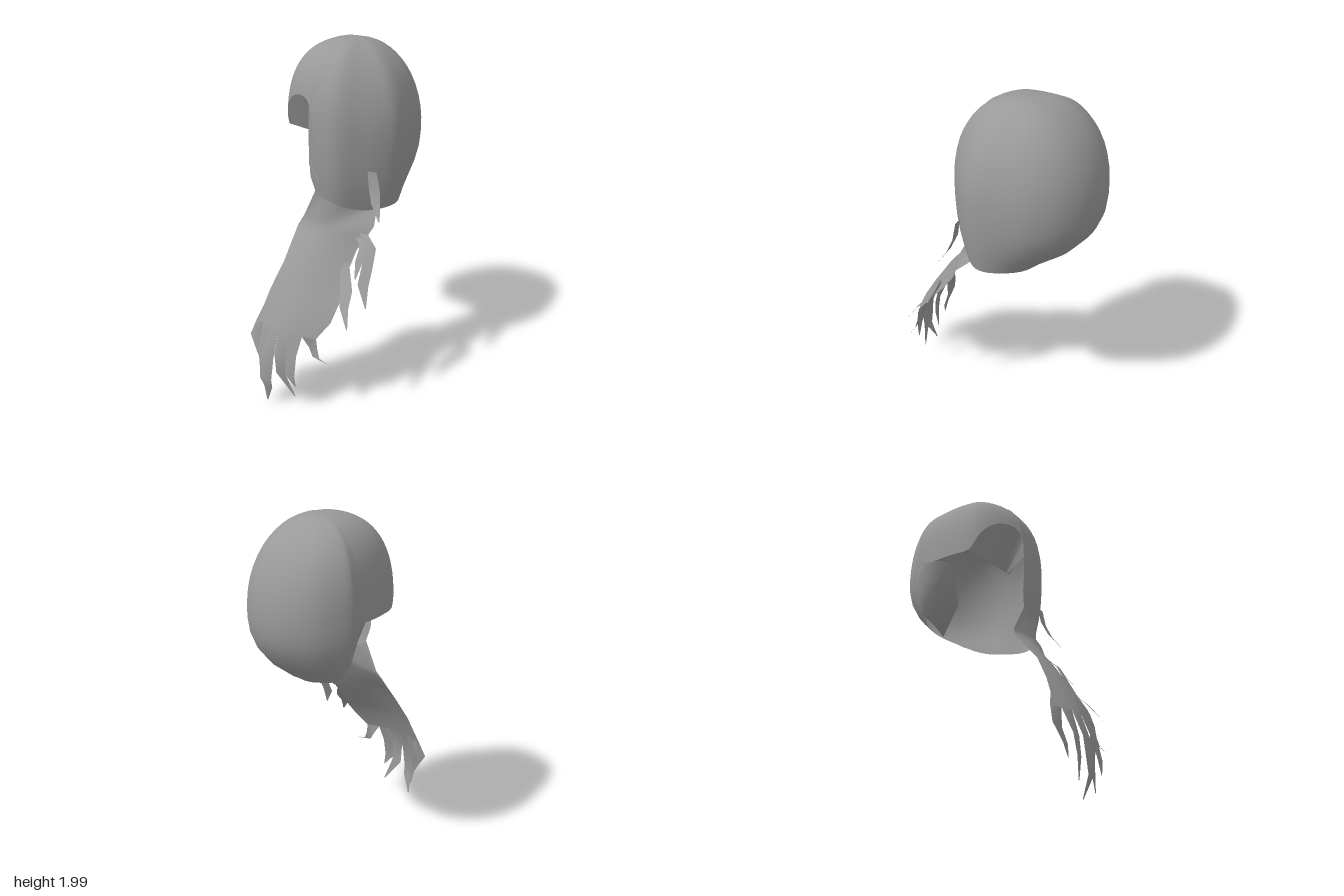
import * as THREE from 'three';

const hair = new THREE.MeshStandardMaterial({ color: 0x999999, side: THREE.DoubleSide });
hair.name = 'hair grey';

// Smooth surface through rows of [x, y, z] points; closed joins the last row to the first
function sheet(name, rows, closed = false) {
  const n = rows[0].length, index = [];
  const spans = closed ? rows.length : rows.length - 1;
  for (let i = 0; i < spans; i++) {
    for (let j = 0; j < n - 1; j++) {
      const a = i * n + j, b = ((i + 1) % rows.length) * n + j;
      index.push(a, b, a + 1, a + 1, b, b + 1);
    }
  }
  const g = new THREE.BufferGeometry();
  g.setAttribute('position', new THREE.Float32BufferAttribute(rows.flat(2), 3));
  g.setIndex(index);
  g.computeVertexNormals();
  const mesh = new THREE.Mesh(g, hair);
  mesh.name = name;
  return mesh;
}

// Rows of a flat tapering lock: [x, y, z, half width], leaning back toward +x
const lockRows = (points) => points.map(([x, y, z, w]) => [
  [x - w, y, z + w * 0.4], [x, y, z + w * 0.1], [x + w, y, z - w * 0.4],
]);

// Cap: widest outline as [x, z, lower edge y], with the face opening cut high
const CX = -0.05, CZ = -0.2;
const outline = [
  [0.02, 0.187, 1.2], [0.16, 0.15, 1.14], [0.25, 0.03, 1.1], [0.3, -0.06, 1.1],
  [0.328, -0.155, 1.11], [0.285, -0.31, 1.12], [0.21, -0.46, 1.12], [0.08, -0.565, 1.12],
  [-0.09, -0.6, 1.13], [-0.26, -0.56, 1.14], [-0.4, -0.45, 1.17], [-0.46, -0.31, 1.2],
  [-0.445, -0.22, 1.5], [-0.42, -0.14, 1.5], [-0.375, -0.02, 1.5], [-0.32, 0.08, 1.51],
  [-0.27, 0.13, 1.62], [-0.2, 0.165, 1.69], [-0.1, 0.187, 1.72], [-0.03, 0.19, 1.7],
  [0.0, 0.19, 1.62],
];
const SUB = 4; // columns per outline point

function capColumns() {
  const curve = new THREE.CatmullRomCurve3(
    outline.map(([x, z, y]) => new THREE.Vector3(x, y, z)), true);
  const columns = [], count = outline.length * SUB, steps = 18;
  for (let i = 0; i < count; i++) {
    const p = curve.getPoint(i / count);
    const dx = p.x - CX, dz = p.z - CZ, r = Math.hypot(dx, dz);
    // fuller dome over the fringe, nape tucked under at the back
    const power = 2 + 0.7 * THREE.MathUtils.smoothstep((dz - dx) / r, -0.6, 1.3);
    const tuck = 0.1 + 0.5 * Math.pow(Math.max(0, -dz / r), 1.5) + 0.2 * Math.max(0, -dx / r);
    const column = [];
    for (let k = 0; k <= steps; k++) {
      const t = k / steps, y = 2 - (2 - p.y) * t * t;
      const s = y > 1.5
        ? Math.pow(Math.max(0, 1 - Math.pow((y - 1.5) / 0.5, power)), 1 / power)
        : 1 - tuck * Math.pow((1.5 - y) / 0.38, 2.5);
      column.push([CX + dx * s, y, CZ + dz * s]);
    }
    columns.push(column);
  }
  return columns;
}

// Tail: arched rows hanging from the cap edge, as [y, left x, right x, left z, right z]
function tailRows(topEdge) {
  const n = topEdge.length - 1;
  const rows = [
    [1.03, -0.07, 0.31, 0.18, -0.01], [0.98, -0.085, 0.295, 0.21, 0.02],
    [0.9, -0.07, 0.27, 0.27, 0.08], [0.8, -0.045, 0.28, 0.35, 0.15],
    [0.65, -0.06, 0.33, 0.44, 0.26], [0.56, -0.07, 0.34, 0.48, 0.33], [0.47, -0.1, 0.3, 0.51, 0.4],
  ].map(([y, x0, x1, z0, z1]) => topEdge.map((_, j) => {
    const u = j / n;
    return [x0 + (x1 - x0) * u, y, z0 + (z1 - z0) * u + 0.055 * Math.sin(Math.PI * u)];
  }));
  return [topEdge, ...rows];
}

export function createModel() {
  const model = new THREE.Group();
  model.name = 'hair';
  const columns = capColumns();
  const edge = columns.map((c) => c[c.length - 1]);
  model.add(sheet('cap', columns, true));

  // Fringe turned back inside, from the arch down to a straight lower edge
  const arch = edge.slice(15 * SUB, 20 * SUB + 2);
  model.add(sheet('fringeLining', [arch, arch.map((_, j) => {
    const u = j / (arch.length - 1);
    return [-0.32 + 0.33 * u, 1.5 - 0.02 * u, 0.08 - 0.05 * u];
  })]));

  // Side hair curling in below the fringe
  model.add(sheet('sideHair', [
    [[-0.46, 1.52, -0.31], [-0.445, 1.52, -0.21], [-0.4, 1.51, -0.14], [-0.33, 1.5, -0.09]],
    [[-0.45, 1.4, -0.31], [-0.425, 1.4, -0.22], [-0.36, 1.4, -0.16], [-0.265, 1.4, -0.14]],
    [[-0.43, 1.29, -0.305], [-0.4, 1.28, -0.24], [-0.32, 1.28, -0.2], [-0.2, 1.3, -0.2]],
    [[-0.38, 1.2, -0.29], [-0.34, 1.19, -0.29], [-0.27, 1.17, -0.32], [-0.2, 1.15, -0.36]],
  ]));

  // Tail with six pointed ends growing out of its last row
  const tail = tailRows(edge.slice(0, 3 * SUB + 1));
  const last = tail[tail.length - 1];
  model.add(sheet('tail', tail));
  [
    [[-0.075, 0.37, 0.53, 0.045], [-0.035, 0.28, 0.54, 0.025], [-0.02, 0.21, 0.54, 0.003]],
    [[0.02, 0.33, 0.56, 0.03], [0.025, 0.22, 0.57, 0.02], [0.025, 0.1, 0.56, 0.003]],
    [[0.075, 0.32, 0.575, 0.04], [0.075, 0.18, 0.59, 0.035], [0.085, 0.13, 0.58, 0.025], [0.045, 0.01, 0.56, 0.003]],
    [[0.15, 0.35, 0.54, 0.032], [0.145, 0.22, 0.53, 0.03], [0.205, 0.08, 0.48, 0.003]],
    [[0.195, 0.36, 0.5, 0.035], [0.21, 0.24, 0.52, 0.028], [0.235, 0.17, 0.5, 0.003]],
    [[0.285, 0.41, 0.41, 0.025], [0.31, 0.36, 0.41, 0.02], [0.38, 0.345, 0.39, 0.004]],
  ].forEach((p, i) => model.add(
    sheet('tailTip' + (i + 1), [last.slice(i * 2, i * 2 + 3), ...lockRows(p)])));

  // Loose flicks along the right edge of the tail, side and face opening
  const flicks = {
    upperFlick: [[0.28, 0.99, 0.04, 0.025], [0.36, 0.94, 0.06, 0.03], [0.38, 0.85, 0.1, 0.03], [0.4, 0.75, 0.15, 0.03], [0.455, 0.645, 0.18, 0.003]],
    innerFlick: [[0.27, 0.97, 0.06, 0.02], [0.33, 0.93, 0.09, 0.02], [0.34, 0.86, 0.13, 0.02], [0.37, 0.79, 0.18, 0.003]],
    lowerFlick: [[0.25, 0.84, 0.15, 0.025], [0.33, 0.72, 0.21, 0.035], [0.38, 0.65, 0.27, 0.025], [0.45, 0.56, 0.31, 0.003]],
    sideFlick: [[0.285, 1.34, -0.01, 0.025], [0.305, 1.25, -0.01, 0.03], [0.34, 1.17, 0.01, 0.025], [0.4, 1.095, 0.04, 0.003]],
    faceStrand: [[0.01, 1.66, 0.195, 0.006], [0.02, 1.5, 0.195, 0.012], [0.02, 1.36, 0.195, 0.014], [0.07, 1.26, 0.185, 0.003]],
  };
  for (const [name, points] of Object.entries(flicks)) model.add(sheet(name, lockRows(points)));
  return model;
}
